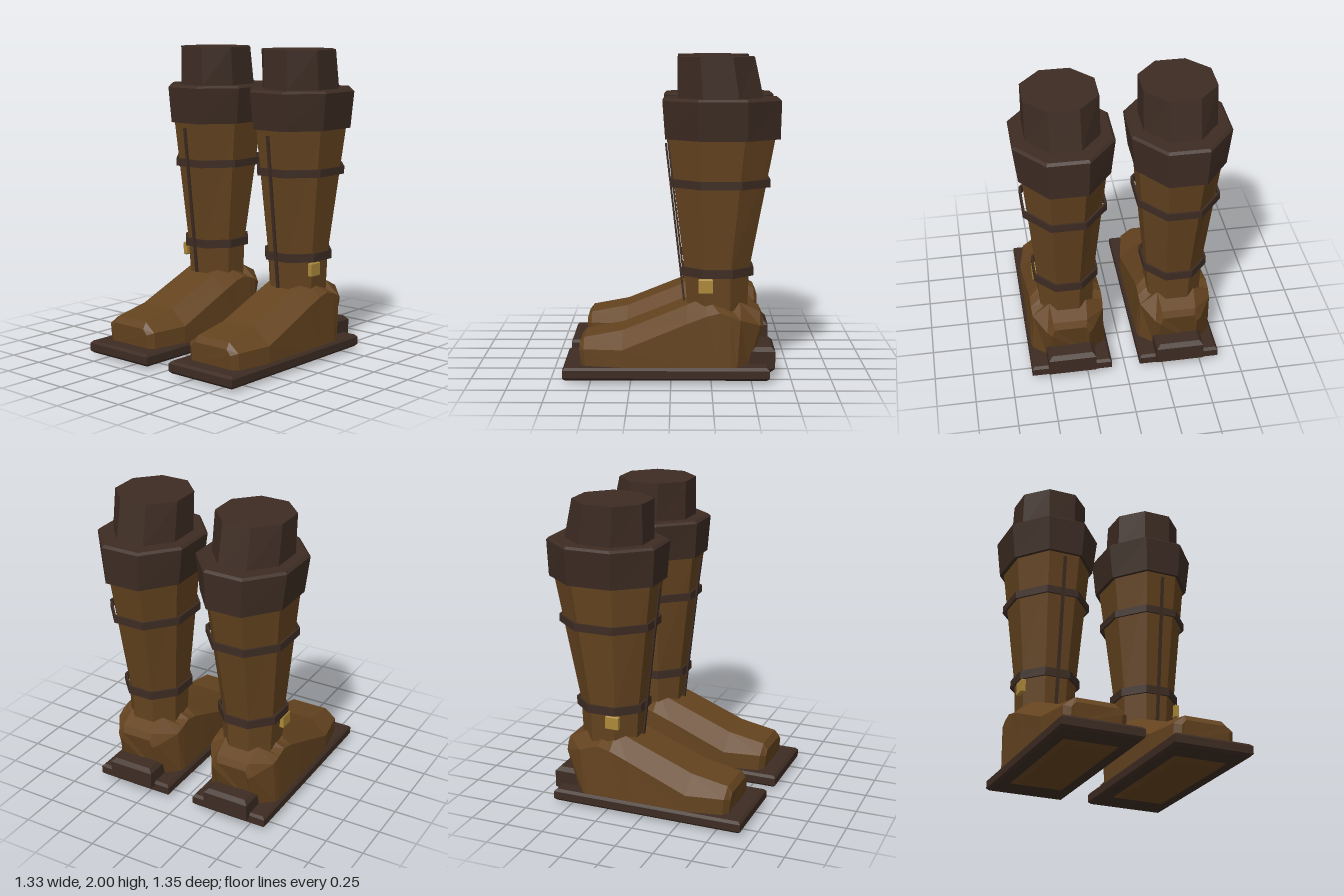
import * as THREE from 'three';

// Skin closed loops of [x, y, z] points, faceted, with optional end caps
function loft(rings, capped = true) {
  const pos = [];
  const n = rings[0].length;
  const tri = (a, b, c) => pos.push(...a, ...b, ...c);
  for (let i = 0; i < rings.length - 1; i++) {
    for (let j = 0; j < n; j++) {
      const k = (j + 1) % n;
      const a = rings[i][j], b = rings[i][k], c = rings[i + 1][k], d = rings[i + 1][j];
      tri(a, b, c);
      tri(a, c, d);
    }
  }
  if (capped) {
    const first = rings[0], last = rings[rings.length - 1];
    for (let j = 1; j < n - 1; j++) {
      tri(first[0], first[j + 1], first[j]);
      tri(last[0], last[j], last[j + 1]);
    }
  }
  const g = new THREE.BufferGeometry();
  g.setAttribute('position', new THREE.Float32BufferAttribute(pos, 3));
  g.computeVertexNormals();
  return g;
}

// Flat-fronted octagon at height y: half width, front z, back z
function octagon([y, hw, front, back]) {
  const mid = (front + back) / 2, hd = (front - back) / 2;
  const r = 1 / Math.cos(Math.PI / 8);
  return Array.from({ length: 8 }, (_, i) => {
    const a = (i - 0.5) * Math.PI / 4;
    return [Math.sin(a) * r * hw, y, mid + Math.cos(a) * r * hd];
  });
}

const tower = (...levels) => loft(levels.map(octagon));

// Thin octagonal band with a small gap around the leg
function band(y0, y1, hw, front, back) {
  const t = 0.013;
  const outer = y => octagon([y, hw, front, back]);
  const inner = y => octagon([y, hw - t, front - t, back + t]);
  return loft([outer(y0), outer(y1), inner(y1), inner(y0), outer(y0)], false);
}

// Box with chamfered edges
function chamferBox(w, h, d, c) {
  const x = w / 2 - c, z = d / 2 - c;
  const s = new THREE.Shape([[-x, -z], [x, -z], [x, z], [-x, z]].map(p => new THREE.Vector2(...p)));
  const g = new THREE.ExtrudeGeometry(s, {
    depth: h - 2 * c, bevelEnabled: true, bevelSize: c, bevelThickness: c, bevelSegments: 1,
  });
  g.translate(0, 0, c - h / 2);
  g.rotateX(-Math.PI / 2);
  return g;
}

// Foot cross-sections, heel to toe:
// [z, z at base, top y, ridge y, top half, ridge half, base half]
const FOOT = [
  [-0.575, -0.50, 0.38, 0.33, 0.10, 0.12, 0.12],
  [-0.555, -0.485, 0.425, 0.345, 0.11, 0.15, 0.15],
  [-0.43, -0.41, 0.485, 0.395, 0.12, 0.23, 0.235],
  [-0.37, -0.37, 0.455, 0.42, 0.12, 0.235, 0.245],
  [-0.30, -0.30, 0.49, 0.44, 0.12, 0.235, 0.245],
  [-0.22, -0.22, 0.52, 0.42, 0.12, 0.235, 0.245],
  [-0.10, -0.10, 0.47, 0.375, 0.125, 0.24, 0.245],
  [0.30, 0.30, 0.31, 0.21, 0.125, 0.245, 0.245],
  [0.54, 0.53, 0.265, 0.205, 0.125, 0.20, 0.20],
  [0.57, 0.56, 0.225, 0.19, 0.13, 0.16, 0.16],
];

function footGeometry() {
  return loft(FOOT.map(([z, zb, top, ridge, t, r, b]) => [
    [-b, 0.09, zb], [b, 0.09, zb], [r, ridge, z], [t, top, z], [-t, top, z], [-r, ridge, z],
  ]));
}

export function createModel() {
  const mat = (name, color) => {
    const m = new THREE.MeshStandardMaterial({ color });
    m.name = name;
    return m;
  };
  const leather = mat('brown leather', 0x64431f);
  const dark = mat('dark leather', 0x3d2c23);
  const brass = mat('brass', 0xad893a);

  const model = new THREE.Group();
  model.name = 'boots';

  for (const side of [1, -1]) {
    const boot = new THREE.Group();
    boot.name = side > 0 ? 'leftBoot' : 'rightBoot';
    boot.position.x = side * 0.355;
    const add = (name, geometry, material, x = 0, y = 0, z = 0) => {
      const m = new THREE.Mesh(geometry, material);
      m.name = name;
      m.position.set(x, y, z);
      boot.add(m);
      return m;
    };

    // Sole, heel and the inset underside panel
    add('sole', chamferBox(0.525, 0.08, 1.28, 0.016), dark, 0, 0.06, 0.03);
    add('heel', chamferBox(0.31, 0.16, 0.2, 0.025), dark, 0, 0.125, -0.55);
    const panel = (y, hw, z0, z1) => [[-hw, y, z1], [hw, y, z1], [hw, y, z0], [-hw, y, z0]];
    add('solePanel', loft([panel(0, 0.15, -0.34, 0.45), panel(0.025, 0.18, -0.42, 0.5)]), leather);

    // Foot and shaft
    add('foot', footGeometry(), leather);
    add('shaft', tower(
      [0.4, 0.17, -0.105, -0.475],
      [0.68, 0.182, -0.085, -0.485],
      [1.51, 0.258, 0.015, -0.64],
    ), leather);

    // Folded cuff and the liner rising from it
    add('cuff', tower(
      [1.5, 0.28, 0.035, -0.67],
      [1.735, 0.308, 0.052, -0.675],
      [1.75, 0.293, 0.035, -0.66],
    ), dark);
    add('liner', tower([1.74, 0.225, -0.04, -0.567], [2, 0.225, -0.04, -0.51]), dark);

    // Straps and buckle
    add('upperStrap', band(1.205, 1.255, 0.26, 0.0, -0.61), dark);
    add('ankleStrap', band(0.65, 0.705, 0.205, -0.065, -0.512), dark);
    add('buckle', chamferBox(0.03, 0.09, 0.09, 0.006), brass, side * 0.19, 0.6, -0.215);

    // Slanted strip down the shin
    const strip = add('shinStrip', new THREE.BoxGeometry(0.02, 1.0, 0.012), dark, 0, 0.97, -0.025);
    strip.rotation.x = Math.atan2(0.115, 1);

    model.add(boot);
  }
  return model;
}
